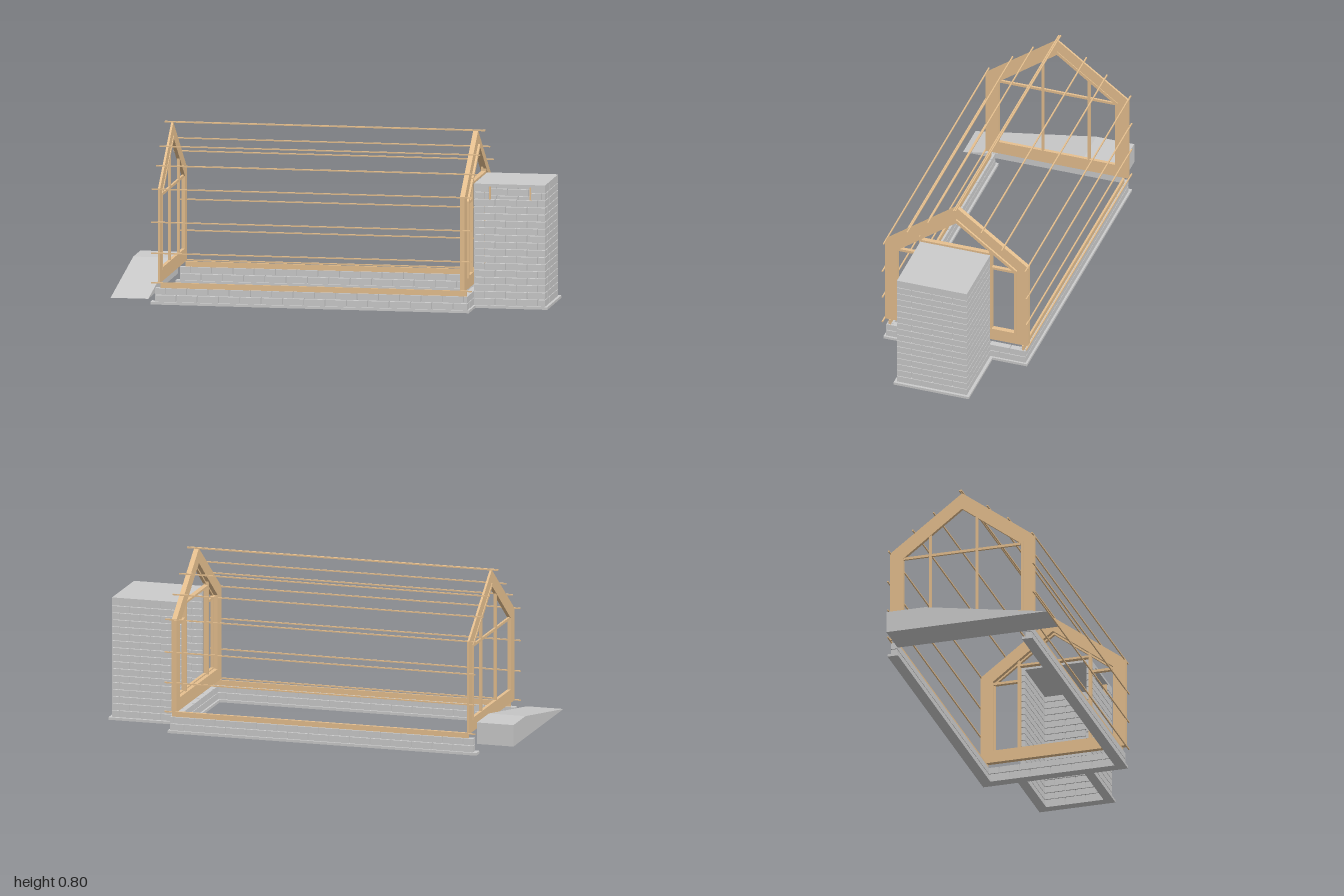
import * as THREE from 'three';
import { mergeGeometries } from 'three/addons/utils/BufferGeometryUtils.js';

const stone = new THREE.MeshStandardMaterial({ color: 0xcccccc });
const wood = new THREE.MeshStandardMaterial({ color: 0xe6c08f });
const MID = -0.06; // z of the ridge

export function createModel() {
  const model = new THREE.Group();

  const add = (name, geometry, material) => {
    const mesh = new THREE.Mesh(geometry, material);
    mesh.name = name;
    model.add(mesh);
    return mesh;
  };

  // Box given by its limits on each axis
  const span = (x0, x1, y0, y1, z0, z1) =>
    new THREE.BoxGeometry(x1 - x0, y1 - y0, z1 - z0)
      .translate((x0 + x1) / 2, (y0 + y1) / 2, (z0 + z1) / 2);

  // Courses of staggered bricks with open joints, running along x or z
  const bricks = (name, along, from, to, s0, s1, y0, rows, firstRow = 0) => {
    const H = 0.0331, L = 0.1, gap = 0.004, parts = [];
    for (let r = 0; r < rows; r++) {
      const y = y0 + r * H;
      const start = from - ((r + firstRow) % 2 ? L / 2 : 0);
      for (let a = start; a < to - 0.005; a += L) {
        const b0 = Math.max(a, from), b1 = Math.min(a + L - gap, to);
        if (b1 - b0 < 0.004) continue;
        const top = y + H - 0.003;
        parts.push(along === 'x' ? span(b0, b1, y, top, s0, s1) : span(s0, s1, y, top, b0, b1));
      }
    }
    add(name, mergeGeometries(parts), stone);
  };

  // House-shaped outline; shape x is -z
  const house = (Type, half, bottom, eave, apex) => {
    const p = new Type();
    p.moveTo(-MID - half, bottom);
    p.lineTo(-MID + half, bottom);
    p.lineTo(-MID + half, eave);
    p.lineTo(-MID, apex);
    p.lineTo(-MID - half, eave);
    p.closePath();
    return p;
  };
  const alongX = (shape, x0, x1) =>
    new THREE.ExtrudeGeometry(shape, { depth: x1 - x0, bevelEnabled: false })
      .rotateY(Math.PI / 2).translate(x0, 0, 0);

  const gable = (name, x0, x1, trim0, trim1) => {
    const frame = house(THREE.Shape, 0.35, 0.1, 0.538, 0.8);
    frame.holes.push(house(THREE.Path, 0.29, 0.16, 0.51, 0.73));
    add(name + 'Frame', alongX(frame, x0, x1), wood);
    const trim = house(THREE.Shape, 0.296, 0.154, 0.514, 0.738);
    trim.holes.push(house(THREE.Path, 0.284, 0.166, 0.505, 0.72));
    add(name + 'Trim', alongX(trim, trim0, trim1), wood);
  };

  // End gables
  gable('rightGable', 0.617, 0.64, 0.636, 0.65);
  gable('leftGable', -0.8, -0.79, -0.803, -0.787);

  // Left gable posts and rail
  for (const [z, top] of [[0.01, 0.68], [-0.215, 0.615]]) {
    add('leftPost', span(-0.801, -0.789, 0.16, top, z - 0.006, z + 0.006), wood);
  }
  add('leftRail', span(-0.8, -0.79, 0.499, 0.511, -0.35, 0.23), wood);

  // Right gable door posts, lintel and side rails
  for (const z of [0.115, -0.228]) {
    add('rightPost', span(0.625, 0.648, 0.16, 0.605, z - 0.006, z + 0.006), wood);
  }
  add('doorLintel', span(0.625, 0.648, 0.576, 0.586, -0.228, 0.115), wood);
  add('sideRail', span(0.628, 0.646, 0.498, 0.51, 0.115, 0.23), wood);
  add('sideRail', span(0.628, 0.646, 0.498, 0.51, -0.35, -0.228), wood);

  // Long battens on ridge, roof and walls
  const batten = (dz, y) =>
    add('batten', span(-0.83, 0.673, y - 0.003, y + 0.003, MID + dz - 0.003, MID + dz + 0.003), wood);
  batten(-0.004, 0.801);
  batten(0.004, 0.801);
  for (const side of [-1, 1]) {
    for (const [dz, y] of [[0.13, 0.706], [0.23, 0.63], [0.346, 0.539],
      [0.351, 0.385], [0.351, 0.24], [0.351, 0.102]]) batten(side * dz, y);
  }

  // Brick plinth, footing and timber sills
  for (const [z0, z1] of [[0.25, 0.28], [-0.4, -0.37]]) {
    bricks('plinthWall', 'x', -0.815, 0.65, z0, z1, 0.012, 2);
    add('footing', span(-0.835, 0.66, 0, 0.012, z0 - 0.01, z1 + 0.01), stone);
    const zc = (z0 + z1) / 2;
    add('sill', span(-0.79, 0.645, 0.075, 0.1, zc - 0.005, zc + 0.005), wood);
  }
  bricks('endPlinth', 'z', -0.37, 0.25, 0.62, 0.65, 0.012, 2);
  add('endFooting', span(0.61, 0.66, 0, 0.012, -0.36, 0.24), stone);

  // Brick annex: three walls, open towards the house
  const X0 = 0.652, X1 = 0.985, Z0 = -0.228, Z1 = 0.113, T = 0.022, B = 0.012;
  bricks('annexBackWall', 'x', X0, X1, Z0, Z0 + T, B, 17);
  bricks('annexEndWall', 'z', Z0 + T, Z1 - T, X1 - T, X1, B, 17);
  bricks('annexFrontWall', 'x', X0, X1, Z1 - T, Z1, B, 15);
  bricks('annexFrontTop', 'x', X0, 0.72, Z1 - T, Z1, B + 15 * 0.0331, 2, 15);
  bricks('annexFrontTop', 'x', 0.92, X1, Z1 - T, Z1, B + 15 * 0.0331, 2, 15);
  add('annexRoof', span(X0, X1, 0.567, 0.579, Z0, Z1), stone);
  for (const x of [0.72, 0.912]) {
    add('windowJamb', span(x, x + 0.008, 0.506, 0.567, Z1 - T, Z1 - 0.006), wood);
  }
  // Annex footing
  add('annexFooting', span(X0, 0.998, 0, B, Z0 - 0.014, Z0 + T + 0.01), stone);
  add('annexFooting', span(X0, 0.998, 0, B, Z1 - T - 0.01, Z1 + 0.012), stone);
  add('annexFooting', span(X1 - T - 0.01, 0.998, 0, B, Z0 + T + 0.01, Z1 - T - 0.01), stone);

  // Entrance ramp with a level landing
  const ramp = new THREE.Shape();
  ramp.moveTo(-0.41, 0.045);
  ramp.lineTo(0.365, 0.045);
  ramp.lineTo(0.365, 0.147);
  ramp.lineTo(0.18, 0.147);
  ramp.closePath();
  add('ramp', alongX(ramp, -1, -0.823), stone);

  return model;
}
